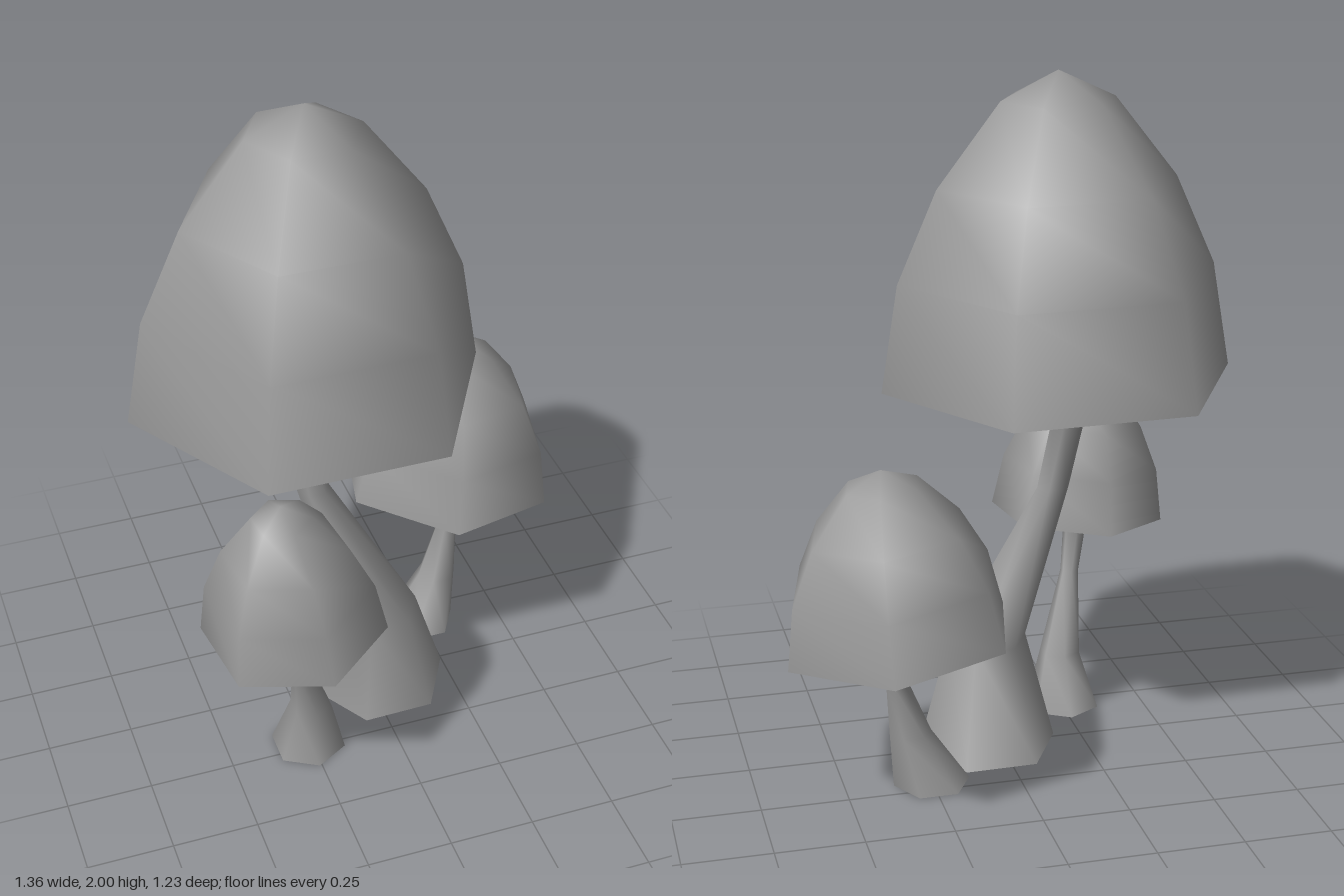
import * as THREE from 'three';
import { mergeVertices } from 'three/addons/utils/BufferGeometryUtils.js';

const SIDES = 6;
const material = new THREE.MeshStandardMaterial({ color: 0x999999, side: THREE.DoubleSide });

// Six-sided lathe whose first corner sits at the given angle from +x towards +z
function hexLathe(points, angle) {
  const g = new THREE.LatheGeometry(points.map(([r, y]) => new THREE.Vector2(r, y)),
    SIDES, Math.PI / 2 - angle);
  g.deleteAttribute('uv');
  g.deleteAttribute('normal');
  return g;
}

function smoothMesh(geometry, name) {
  const g = mergeVertices(geometry, 1e-5);
  g.computeVertexNormals();
  const m = new THREE.Mesh(g, material);
  m.name = name;
  return m;
}

// Cap: thin bell-shaped shell, open underneath
function makeCap({ at, radius, height, angle, tilt }) {
  const profile = [[1, 0], [0.9, 0.35], [0.675, 0.645], [0.32, 0.91], [0, 1]]
    .map(([r, y]) => [r * radius, y * height]);
  const cap = smoothMesh(hexLathe(profile, angle), 'cap');
  cap.position.set(...at);
  cap.rotation.set(tilt[0], 0, tilt[1]);
  return cap;
}

// Stem: open hexagonal tube through rings [x, y, z, radius], each shifted to follow the bend
function makeStem({ rings, angle }) {
  const g = hexLathe(rings.map(([, y, , r]) => [r, y]), angle);
  const p = g.attributes.position;
  for (let i = 0; i < p.count; i++) {
    const [x, , z] = rings[i % rings.length];
    p.setX(i, p.getX(i) + x);
    p.setZ(i, p.getZ(i) + z);
  }
  return smoothMesh(g, 'stem');
}

const mushrooms = [
  {
    name: 'largeMushroom',
    cap: { at: [-0.17, 1.125, -0.01], radius: 0.514, height: 0.875, angle: -0.02, tilt: [-0.005, -0.01] },
    stem: {
      angle: -0.02,
      rings: [[0.038, 0, 0.015, 0.21], [0.025, 0.32, 0.055, 0.118], [-0.165, 0.79, 0.02, 0.048],
        [-0.205, 1.02, -0.01, 0.05], [-0.195, 1.13, -0.005, 0.078], [-0.185, 1.3, -0.01, 0.115]],
    },
  },
  {
    name: 'smallFrontMushroom',
    cap: { at: [-0.333, 0.582, 0.355], radius: 0.263, height: 0.448, angle: 0.39, tilt: [0.03, 0.075] },
    stem: {
      angle: Math.PI / 2,
      rings: [[-0.257, 0, 0.222, 0.112], [-0.252, 0.17, 0.24, 0.062], [-0.305, 0.4, 0.325, 0.028],
        [-0.33, 0.57, 0.35, 0.037], [-0.338, 0.66, 0.355, 0.062]],
    },
  },
  {
    name: 'smallBackMushroom',
    cap: { at: [0.359, 0.502, -0.286], radius: 0.338, height: 0.49, angle: -0.3, tilt: [-0.01, -0.088] },
    stem: {
      angle: 0,
      rings: [[0.25, 0, -0.195, 0.111], [0.313, 0.17, -0.207, 0.06], [0.355, 0.34, -0.235, 0.031],
        [0.336, 0.49, -0.278, 0.045], [0.352, 0.58, -0.285, 0.078]],
    },
  },
];

export function createModel() {
  const model = new THREE.Group();
  model.name = 'mushroomCluster';
  for (const { name, cap, stem } of mushrooms) {
    const mushroom = new THREE.Group();
    mushroom.name = name;
    mushroom.add(makeCap(cap), makeStem(stem));
    model.add(mushroom);
  }
  return model;
}
